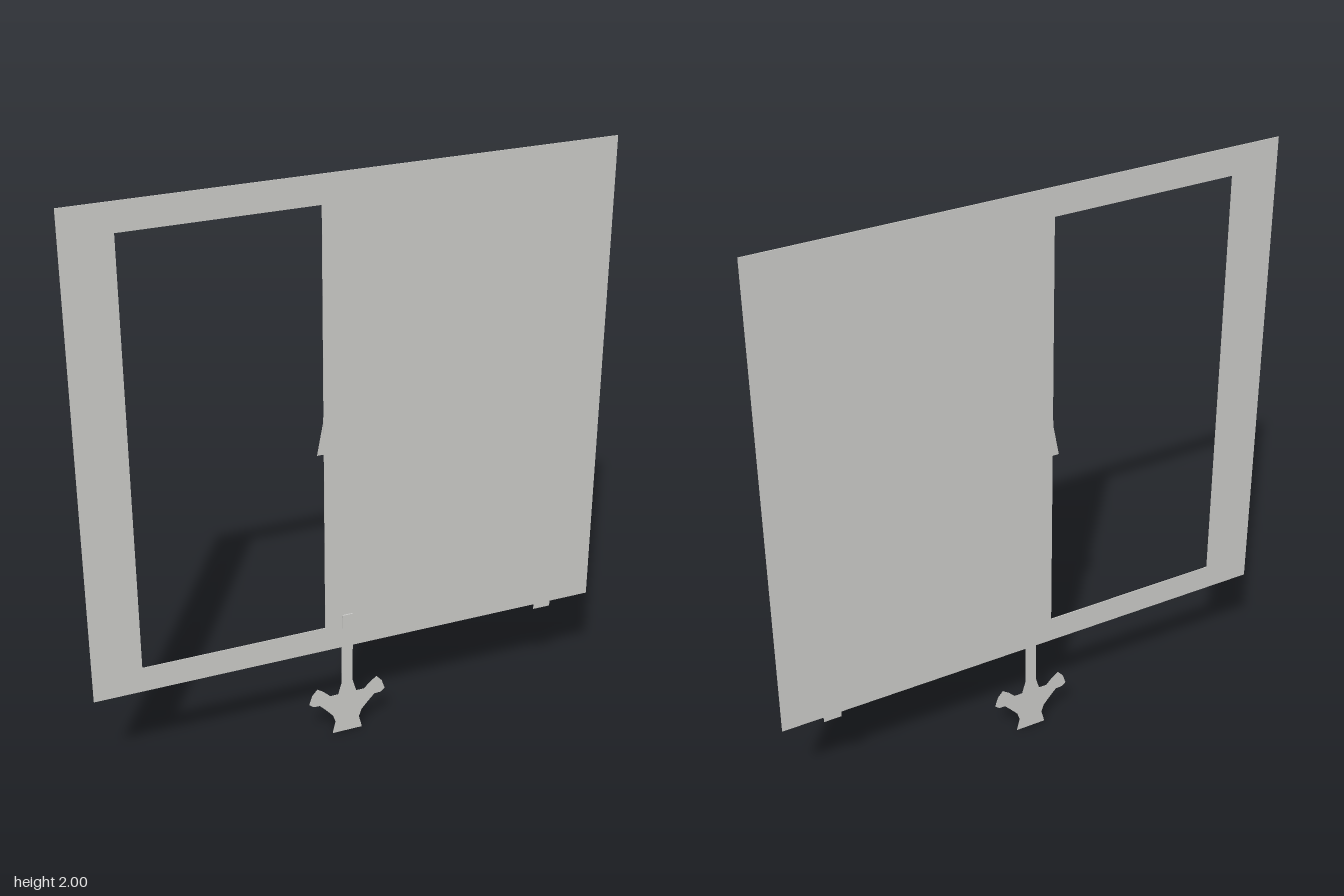
import * as THREE from 'three';

const metal = new THREE.MeshStandardMaterial({ color: 0xc8c8c5 });
metal.name = 'light grey metal';

// Closed outline extruded from z0 to z1
function plate(name, points, z0, z1, hole) {
  const toVectors = (list) => list.map(([x, y]) => new THREE.Vector2(x, y));
  const shape = new THREE.Shape(toVectors(points));
  if (hole) shape.holes.push(new THREE.Path(toVectors(hole)));
  const geometry = new THREE.ExtrudeGeometry(shape, { depth: z1 - z0, bevelEnabled: false });
  geometry.translate(0, 0, z0);
  const mesh = new THREE.Mesh(geometry, metal);
  mesh.name = name;
  return mesh;
}

const rect = (x0, y0, x1, y1) => [[x0, y0], [x1, y0], [x1, y1], [x0, y1]];

export function createModel() {
  const group = new THREE.Group();
  group.name = 'windowPanel';

  // Thin sheet: narrow frame round the opening, solid on the left half
  group.add(plate('frameSheet', rect(-0.887, 0.344, 0.887, 2), -0.004, -0.001,
    rect(-0.722, 0.433, -0.094, 1.905)));

  // Small slanted catch reaching into the opening
  group.add(plate('catch', [[-0.117, 1.08], [-0.085, 1.08], [-0.085, 1.205], [-0.096, 1.21], [-0.096, 1.19]],
    -0.003, -0.002));

  // Foot tab under the lower edge
  group.add(plate('footTab', rect(0.682, 0.324, 0.744, 0.36), -0.003, -0.002));

  // Winged turn key, one half outline mirrored about its stem
  const half = [[0.02, 0.36], [0.02, 0.2], [0.033, 0.155], [0.062, 0.155], [0.085, 0.178], [0.108, 0.194],
    [0.127, 0.172], [0.138, 0.138], [0.122, 0.126], [0.1, 0.125], [0.078, 0.102], [0.052, 0.072],
    [0.043, 0.045], [0.053, 0.005], [0.053, 0]];
  const keyX = -0.016;
  const outline = [
    ...half.map(([x, y]) => [keyX + x, y]),
    ...half.slice().reverse().map(([x, y]) => [keyX - x, y]),
  ];
  group.add(plate('turnKey', outline, -0.003, -0.002));

  // Low boss where the key's stem meets the sheet
  group.add(plate('keyBoss', rect(keyX - 0.018, 0.42, keyX + 0.018, 0.47), -0.002, 0.004));
  return group;
}
